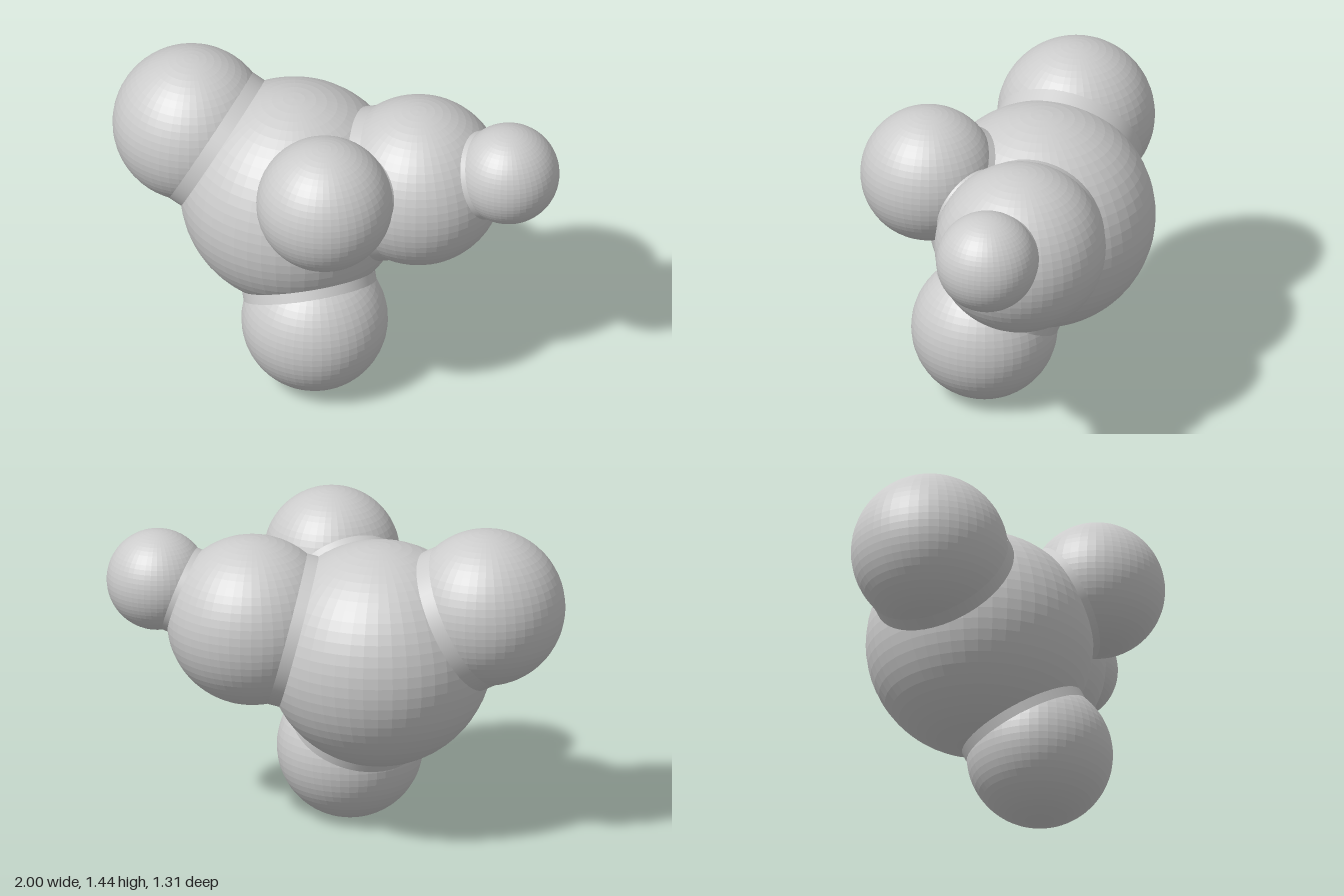
import * as THREE from 'three';

// name: [x, y, z, radius]
const balls = {
  core: [-0.19, 0.84, -0.15, 0.505],
  sideBall: [0.365, 0.985, -0.05, 0.38],
  tipBall: [0.77, 1.14, 0.1, 0.226],
  rearBall: [-0.65, 1.09, -0.305, 0.35],
  frontBall: [-0.038, 1.14, 0.353, 0.303],
  lowerBall: [-0.09, 0.327, 0.105, 0.325],
};

// pairs of balls that meet
const joints = [
  ['core', 'sideBall'], ['core', 'rearBall'], ['core', 'frontBall'],
  ['core', 'lowerBall'], ['sideBall', 'tipBall'], ['sideBall', 'frontBall'],
];

export function createModel() {
  const group = new THREE.Group();
  const material = new THREE.MeshStandardMaterial({ color: 0xcccccc, flatShading: true });
  const collarMaterial = new THREE.MeshStandardMaterial({ color: 0xcccccc, side: THREE.DoubleSide });

  const add = (name, geometry, mat) => {
    const mesh = new THREE.Mesh(geometry, mat);
    mesh.name = name;
    group.add(mesh);
    return mesh;
  };

  // overlapping balls
  for (const [name, [x, y, z, r]] of Object.entries(balls)) {
    add(name, new THREE.SphereGeometry(r, 48, 32), material).position.set(x, y, z);
  }

  // short collars that fill the groove where two balls meet
  for (const [a, b] of joints) {
    const ra = balls[a][3], rb = balls[b][3];
    const from = new THREE.Vector3(...balls[a]);
    const axis = new THREE.Vector3(...balls[b]).sub(from);
    const d = axis.length();
    const plane = (d * d + ra * ra - rb * rb) / (2 * d);
    const r = 1.06 * Math.sqrt(ra * ra - plane * plane);
    const start = Math.sqrt(ra * ra - r * r);
    const end = d - Math.sqrt(rb * rb - r * r);
    axis.normalize();
    const collar = add(b + 'Collar', new THREE.CylinderGeometry(r, r, end - start, 48, 1, true), collarMaterial);
    collar.position.copy(from).addScaledVector(axis, (start + end) / 2);
    collar.quaternion.setFromUnitVectors(new THREE.Vector3(0, 1, 0), axis);
  }
  return group;
}
